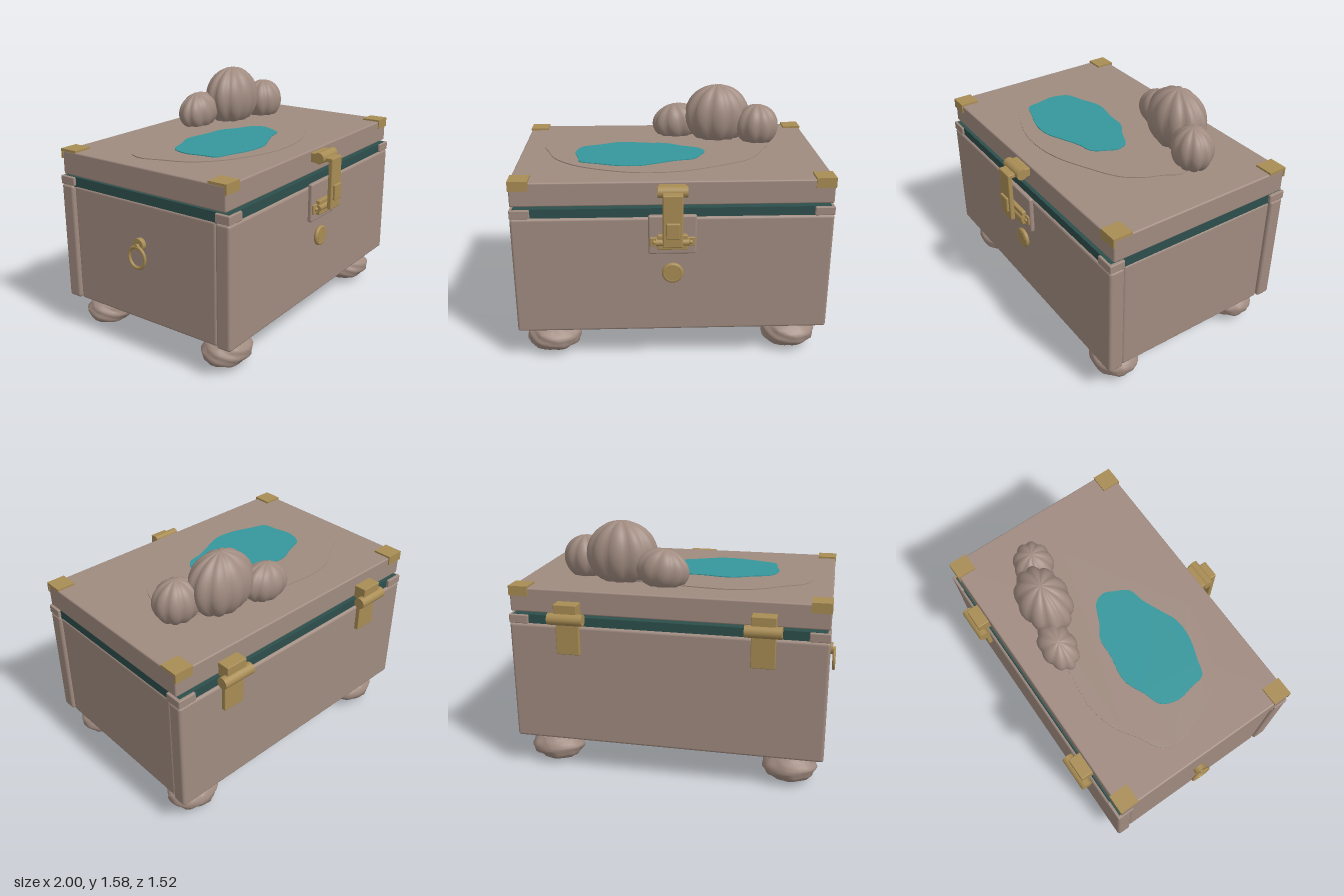
import * as THREE from 'three';
import { mergeVertices } from 'three/addons/utils/BufferGeometryUtils.js';
import { RoundedBoxGeometry } from 'three/addons/geometries/RoundedBoxGeometry.js';

const mat = (name, color) => {
  const m = new THREE.MeshStandardMaterial({ color });
  m.name = name;
  return m;
};

export function createModel() {
  const stone = mat('warm stone', 0xa08b80);
  const brass = mat('brass', 0xa88c54);
  const darkTeal = mat('dark teal', 0x2d4f4c);
  const water = mat('water teal', 0x35979c);

  const model = new THREE.Group();
  model.name = 'chest';
  const cx = 0.018; // the chest body sits slightly off centre because of the side ring

  const add = (name, geometry, material, x = 0, y = 0, z = 0, parent = model) => {
    const mesh = new THREE.Mesh(geometry, material);
    mesh.name = name;
    mesh.position.set(x, y, z);
    parent.add(mesh);
    return mesh;
  };
  // Box given by its limits on each axis, with optional rounded edges
  const box = (name, material, x0, x1, y0, y1, z0, z1, r = 0) => {
    const s = [x1 - x0, y1 - y0, z1 - z0];
    const g = r ? new RoundedBoxGeometry(...s, 3, r) : new THREE.BoxGeometry(...s);
    return add(name, g, material, (x0 + x1) / 2, (y0 + y1) / 2, (z0 + z1) / 2);
  };
  const rodX = (name, r, length, x, y, z) => {
    const g = new THREE.CylinderGeometry(r, r, length, 24).rotateZ(Math.PI / 2);
    return add(name, g, brass, x, y, z);
  };
  // Unit sphere whose radius follows a rule of direction
  const lumpySphere = (w, h, rule) => {
    let g = new THREE.SphereGeometry(1, w, h);
    g.deleteAttribute('uv');
    g.deleteAttribute('normal');
    g = mergeVertices(g, 1e-4);
    const p = g.attributes.position;
    const v = new THREE.Vector3();
    for (let i = 0; i < p.count; i++) {
      v.fromBufferAttribute(p, i);
      v.multiplyScalar(rule(v));
      p.setXYZ(i, v.x, v.y, v.z);
    }
    g.computeVertexNormals();
    return g;
  };

  // Body: front and back slabs, recessed core with the side panels, base
  box('frontPanel', stone, -0.963, 0.998, 0.22, 0.99, 0.53, 0.63, 0.018);
  box('backPanel', stone, -0.963, 0.998, 0.22, 0.99, -0.677, -0.58, 0.018);
  box('sidePanels', stone, -0.95, 0.985, 0.22, 0.99, -0.577, 0.528, 0.018);
  box('core', stone, -0.92, 0.955, 0.23, 0.98, -0.63, 0.58);
  box('base', stone, -0.885, 0.915, 0.188, 0.24, -0.58, 0.53, 0.012);

  // Teal rim between corner blocks
  box('rim', darkTeal, -0.945, 0.98, 0.98, 1.046, -0.66, 0.616);
  for (const sx of [-1, 1]) {
    const x = cx + sx * 0.92;
    box('rimCornerFront', stone, x - 0.061, x + 0.061, 0.99, 1.045, 0.53, 0.631, 0.006);
    box('rimCornerBack', stone, x - 0.061, x + 0.061, 0.99, 1.045, -0.678, -0.565, 0.006);
  }

  // Lid with brass corner plates
  box('lid', stone, -0.96, 0.996, 1.058, 1.21, -0.65, 0.605, 0.01);
  for (const sx of [-1, 1]) for (const sz of [-1, 1]) {
    const x = cx + sx * 0.92;
    const edge = sz > 0 ? 0.612 : -0.658;
    const inner = edge - sz * 0.125;
    const lip = edge - sz * 0.012;
    box('cornerPlateTop', brass, x - 0.061, x + 0.061, 1.206, 1.222,
      Math.min(edge, inner), Math.max(edge, inner));
    box('cornerPlateLip', brass, x - 0.061, x + 0.061, 1.16, 1.222,
      Math.min(edge, lip), Math.max(edge, lip));
  }

  // Low bank and pond on the lid, outlines as [x, z]
  const blob = (points, depth) => {
    const pts = points.map(([x, z]) => new THREE.Vector2(x, -z));
    const outline = new THREE.CatmullRomCurve3(
      pts.map((p) => new THREE.Vector3(p.x, p.y, 0)), true).getPoints(90);
    outline.pop();
    const shape = new THREE.Shape(outline.map((p) => new THREE.Vector2(p.x, p.y)));
    return new THREE.ExtrudeGeometry(shape, { depth, bevelEnabled: false })
      .rotateX(-Math.PI / 2);
  };
  add('pondBank', blob([
    [-0.35, -0.445], [-0.52, -0.4], [-0.66, -0.31], [-0.78, -0.24], [-0.82, -0.13],
    [-0.78, 0], [-0.74, 0.12], [-0.67, 0.22], [-0.55, 0.32], [-0.28, 0.43], [-0.08, 0.45],
    [0.11, 0.42], [0.3, 0.34], [0.51, 0.22], [0.6, 0.1], [0.64, 0], [0.69, -0.1],
    [0.62, -0.24], [0.4, -0.34], [0.1, -0.4], [-0.15, -0.435],
  ], 0.009), stone, 0, 1.207, 0);
  add('pond', blob([
    [-0.6, 0.03], [-0.56, -0.08], [-0.45, -0.125], [-0.31, -0.18], [-0.12, -0.155],
    [0, -0.145], [0.1, -0.085], [0.22, -0.025], [0.25, 0.05], [0.225, 0.11],
    [0.17, 0.2], [0.06, 0.23], [-0.07, 0.285], [-0.17, 0.325], [-0.3, 0.325],
    [-0.46, 0.275], [-0.56, 0.235], [-0.58, 0.14],
  ], 0.009), water, 0, 1.212, 0);

  // Ribbed boulders on the lid
  const ribbed = (lobes) => lumpySphere(lobes * 6, 32, (v) => {
    const a = Math.atan2(v.z, v.x);
    const fade = Math.hypot(v.x, v.z);
    return 1 - 0.1 * fade * (1 - Math.abs(Math.sin(a * lobes / 2)));
  });
  [
    ['boulderLarge', 10, 0.365, 1.375, -0.315, 0.23, 0.21, 0.165, 0, 0],
    ['boulderLeft', 9, 0.085, 1.305, -0.4, 0.17, 0.13, 0.115, 0, 0.18],
    ['boulderRight', 9, 0.63, 1.32, -0.225, 0.152, 0.146, 0.13, -0.2, 0],
  ].forEach(([name, lobes, x, y, z, rx, ry, rz, turnY, turnZ]) => {
    const m = add(name, ribbed(lobes), stone, x, y, z);
    m.scale.set(rx, ry, rz);
    m.rotation.set(0, turnY, turnZ);
  });

  // Rough stone feet
  const footGeometry = lumpySphere(28, 18, (v) => 0.98
    + 0.035 * Math.sin(7 * v.x + 2 * v.y) * Math.cos(6 * v.z - 3 * v.y)
    + 0.03 * Math.sin(11 * v.y + 5 * v.z + 4 * v.x)
    + 0.018 * Math.sin(17 * v.x - 13 * v.z));
  for (const sx of [-1, 1]) for (const z of [0.455, -0.505]) {
    const foot = add('foot', footGeometry, stone, 0.016 + sx * 0.77, 0.105, z);
    foot.scale.set(0.176, 0.1, 0.147);
  }

  // Front latch: back plate, hinged hasp and lower bracket
  box('latchPlate', stone, -0.133, 0.16, 0.76, 1.012, 0.625, 0.657, 0.012);
  box('haspMount', brass, -0.07, 0.095, 1.135, 1.195, 0.6, 0.645, 0.006);
  rodX('haspPin', 0.036, 0.18, 0.013, 1.167, 0.662);
  box('haspArm', brass, -0.048, 0.072, 1.145, 1.172, 0.66, 0.745, 0.006);
  box('haspStrap', brass, -0.048, 0.072, 0.84, 1.172, 0.716, 0.746, 0.008);
  box('haspTab', brass, -0.028, 0.054, 0.9, 1.0, 0.74, 0.761, 0.006);
  box('latchBracket', brass, -0.078, 0.104, 0.8, 0.895, 0.65, 0.684, 0.006);
  box('latchFoot', brass, -0.125, 0.15, 0.815, 0.875, 0.65, 0.668, 0.006);
  rodX('latchPin', 0.022, 0.2, 0.013, 0.848, 0.675);
  for (const x of [-0.098, 0.124]) {
    add('rivet', new THREE.SphereGeometry(0.014, 16, 10), brass, x, 0.845, 0.667);
  }

  // Round boss below the latch
  add('bossRing', new THREE.TorusGeometry(0.053, 0.014, 12, 40), brass, 0.015, 0.628, 0.643);
  add('bossDisc', new THREE.CylinderGeometry(0.048, 0.048, 0.03, 36).rotateX(Math.PI / 2),
    brass, 0.015, 0.628, 0.642);

  // Back hinges
  for (const sx of [-1, 1]) {
    const x = cx + sx * 0.597;
    rodX('hingePin', 0.037, 0.22, x, 1.048, -0.72);
    box('hingeUpper', brass, x - 0.073, x + 0.073, 1.05, 1.14, -0.73, -0.645, 0.005);
    box('hingeLeaf', brass, x - 0.073, x + 0.073, 0.815, 1.05, -0.706, -0.675, 0.005);
  }

  // Side ring pull
  const pull = new THREE.Group();
  pull.name = 'ringPull';
  pull.position.set(-0.98, 0.655, -0.03);
  model.add(pull);
  const ring = add('ring', new THREE.TorusGeometry(0.062, 0.01, 12, 40).rotateY(Math.PI / 2),
    brass, -0.01, 0, 0, pull);
  ring.scale.y = 1.08;
  add('ringMount', new THREE.CylinderGeometry(0.04, 0.04, 0.035, 28).rotateZ(Math.PI / 2),
    brass, 0.018, 0.075, 0.0, pull);
  add('ringLoop', new THREE.CylinderGeometry(0.016, 0.016, 0.03, 16).rotateZ(Math.PI / 2),
    brass, -0.002, 0.068, 0, pull);

  return model;
}
